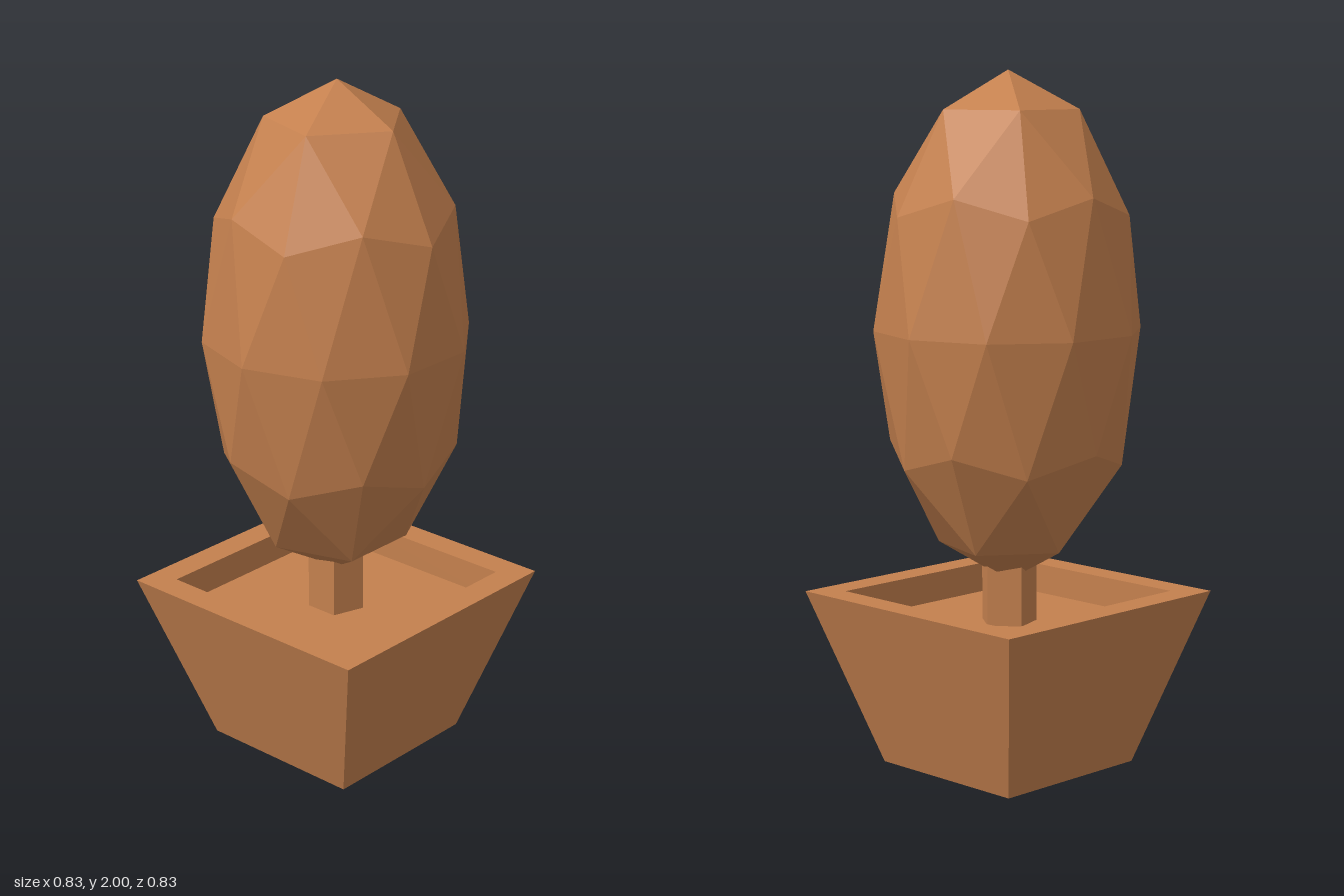
import * as THREE from 'three';

const brown = new THREE.MeshStandardMaterial({ color: 0xc4804e, flatShading: true });
brown.name = 'brown';

function addPart(group, name, geometry) {
  const flat = geometry.index ? geometry.toNonIndexed() : geometry;
  flat.computeVertexNormals();
  const mesh = new THREE.Mesh(flat, brown);
  mesh.name = name;
  group.add(mesh);
}

export function createModel() {
  const group = new THREE.Group();
  group.name = 'pottedTree';

  // Square tapered planter with a rim and recessed soil: [half width, height]
  const profile = [[0, 0], [0.255, 0], [0.414, 0.508], [0.332, 0.508], [0.332, 0.42], [0, 0.42]]
    .map(([halfWidth, y]) => new THREE.Vector2(halfWidth * Math.SQRT2, y));
  addPart(group, 'planter', new THREE.LatheGeometry(profile, 4, Math.PI / 4));

  // Five-sided trunk with one corner towards the back
  const trunk = new THREE.CylinderGeometry(0.084, 0.084, 0.24, 5, 1, false, Math.PI);
  trunk.translate(0, 0.535, 0);
  addPart(group, 'trunk', trunk);

  // Faceted crown: icosphere stood on a corner and stretched upwards
  const crown = new THREE.IcosahedronGeometry(1, 1);
  crown.rotateZ(-Math.atan(2 / (1 + Math.sqrt(5))));
  crown.scale(0.385, 0.73, 0.385);
  crown.translate(0, 1.27, 0);
  addPart(group, 'crown', crown);

  return group;
}
